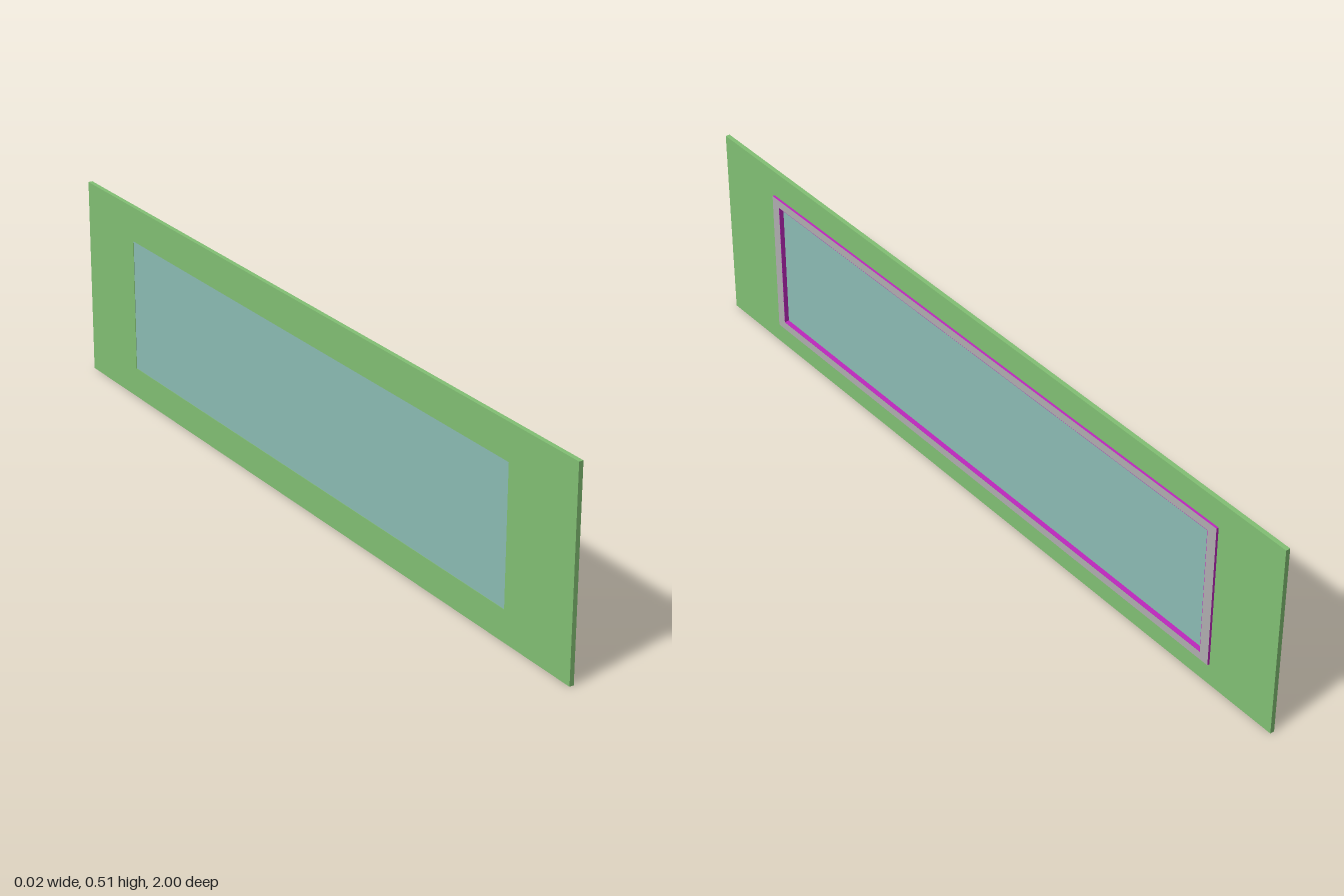
import * as THREE from 'three';

const mat = (name, color) => {
  const m = new THREE.MeshStandardMaterial({ color });
  m.name = name;
  return m;
};

// Rectangle given as z0, z1, y0, y1; shape x runs along -z so that extrusion goes along +x
const WALL = [-1, 1, 0, 0.51];
const TRIM = [-0.803, 0.797, 0.057, 0.441];
const OPENING = [-0.777, 0.772, 0.078, 0.42];

function trace(path, [z0, z1, y0, y1]) {
  path.moveTo(-z1, y0);
  path.lineTo(-z0, y0);
  path.lineTo(-z0, y1);
  path.lineTo(-z1, y1);
  path.closePath();
  return path;
}

// Flat slab between two x planes, with an optional rectangular opening
function slab(name, rect, hole, xBack, xFront, materials) {
  const shape = trace(new THREE.Shape(), rect);
  if (hole) shape.holes.push(trace(new THREE.Path(), hole));
  const geometry = new THREE.ExtrudeGeometry(shape, { depth: xFront - xBack, bevelEnabled: false });
  geometry.rotateY(Math.PI / 2);
  geometry.translate(xBack, 0, 0);
  const mesh = new THREE.Mesh(geometry, materials);
  mesh.name = name;
  return mesh;
}

export function createModel() {
  const green = mat('wall green', 0x82c074);
  const grey = mat('trim grey', 0xb0adb0);
  const magenta = mat('trim edge magenta', 0xbe28be);
  const teal = mat('glass teal', 0x8cbcb4);

  const group = new THREE.Group();
  group.name = 'windowPanel';

  // Wall panel with the window cut through it
  group.add(slab('wall', WALL, OPENING, -0.009, 0.002, green));

  // Raised trim: grey face, magenta edges
  group.add(slab('windowTrim', TRIM, OPENING, 0.002, 0.008, [grey, magenta]));

  // Magenta lining of the opening, just inside the wall
  const [z0, z1, y0, y1] = OPENING;
  const t = 0.001;
  group.add(slab('openingLining', OPENING, [z0 + t, z1 - t, y0 + t, y1 - t], -0.005, 0.0079, magenta));

  // Glass set back in the opening
  group.add(slab('glass', OPENING, null, -0.008, -0.004, teal));

  return group;
}
